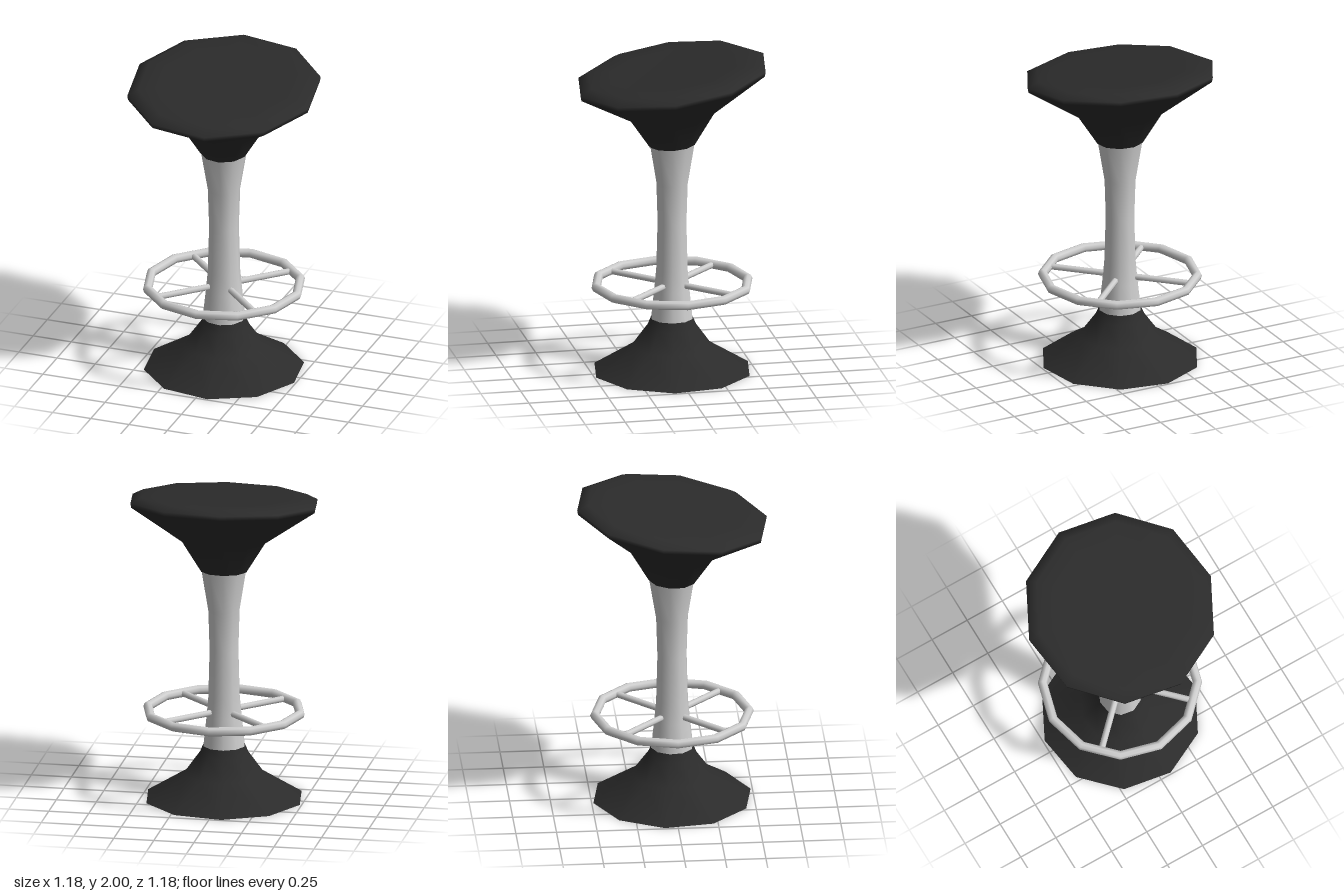
import * as THREE from 'three';
import { mergeVertices } from 'three/addons/utils/BufferGeometryUtils.js';

const SIDES = 10;
const TURN = THREE.MathUtils.degToRad(8.5);

const black = new THREE.MeshStandardMaterial({ color: 0x2b2b2b });
black.name = 'black plastic';
const silver = new THREE.MeshStandardMaterial({ color: 0xcfcfcf });
silver.name = 'silver metal';

// ten-sided turned shape; profile runs from bottom to top as [radius, y]
function turned(profile) {
  return new THREE.LatheGeometry(profile.map(([r, y]) => new THREE.Vector2(r, y)), SIDES, TURN);
}

export function createModel() {
  const stool = new THREE.Group();
  stool.name = 'barStool';
  const add = (name, geometry, material) => {
    const mesh = new THREE.Mesh(geometry, material);
    mesh.name = name;
    stool.add(mesh);
    return mesh;
  };

  // flared foot and its flat underside
  add('base', turned([[0.495, 0], [0.245, 0.155], [0.155, 0.28], [0.132, 0.335]]), black);
  add('baseUnderside', turned([[0, 0], [0.495, 0]]), black);

  // waisted column
  add('column', turned([[0.132, 0.335], [0.112, 0.52], [0.1, 0.65], [0.092, 0.95], [0.1, 1.2], [0.145, 1.47]]), silver);

  // funnel seat, tilted forward more strongly towards the rim
  let seat = turned([
    [0.145, 1.45], [0.268, 1.645], [0.592, 1.865], [0.597, 1.893],
    [0.53, 1.927], [0.4, 1.926], [0, 1.922],
  ]);
  seat.deleteAttribute('uv');
  seat.deleteAttribute('normal');
  seat = mergeVertices(seat, 1e-4);
  const p = seat.attributes.position;
  for (let i = 0; i < p.count; i++) {
    const y = p.getY(i);
    const tilt = 0.05 + 0.08 * THREE.MathUtils.clamp((y - 1.45) / 0.4, 0, 1);
    p.setY(i, y - tilt * p.getZ(i));
  }
  seat.computeVertexNormals();
  add('seat', seat, black);

  // footrest ring with four diagonal spokes
  const ringY = 0.555;
  add('footRing', new THREE.TorusGeometry(0.475, 0.029, 8, 12).rotateX(Math.PI / 2), silver).position.y = ringY;
  for (let i = 0; i < 4; i++) {
    const spoke = new THREE.CylinderGeometry(0.02, 0.02, 0.4, 8).rotateZ(Math.PI / 2).translate(0.26, 0, 0);
    const mesh = add('footRingSpoke', spoke, silver);
    mesh.position.y = ringY;
    mesh.rotation.y = Math.PI / 4 + i * Math.PI / 2;
  }
  return stool;
}
